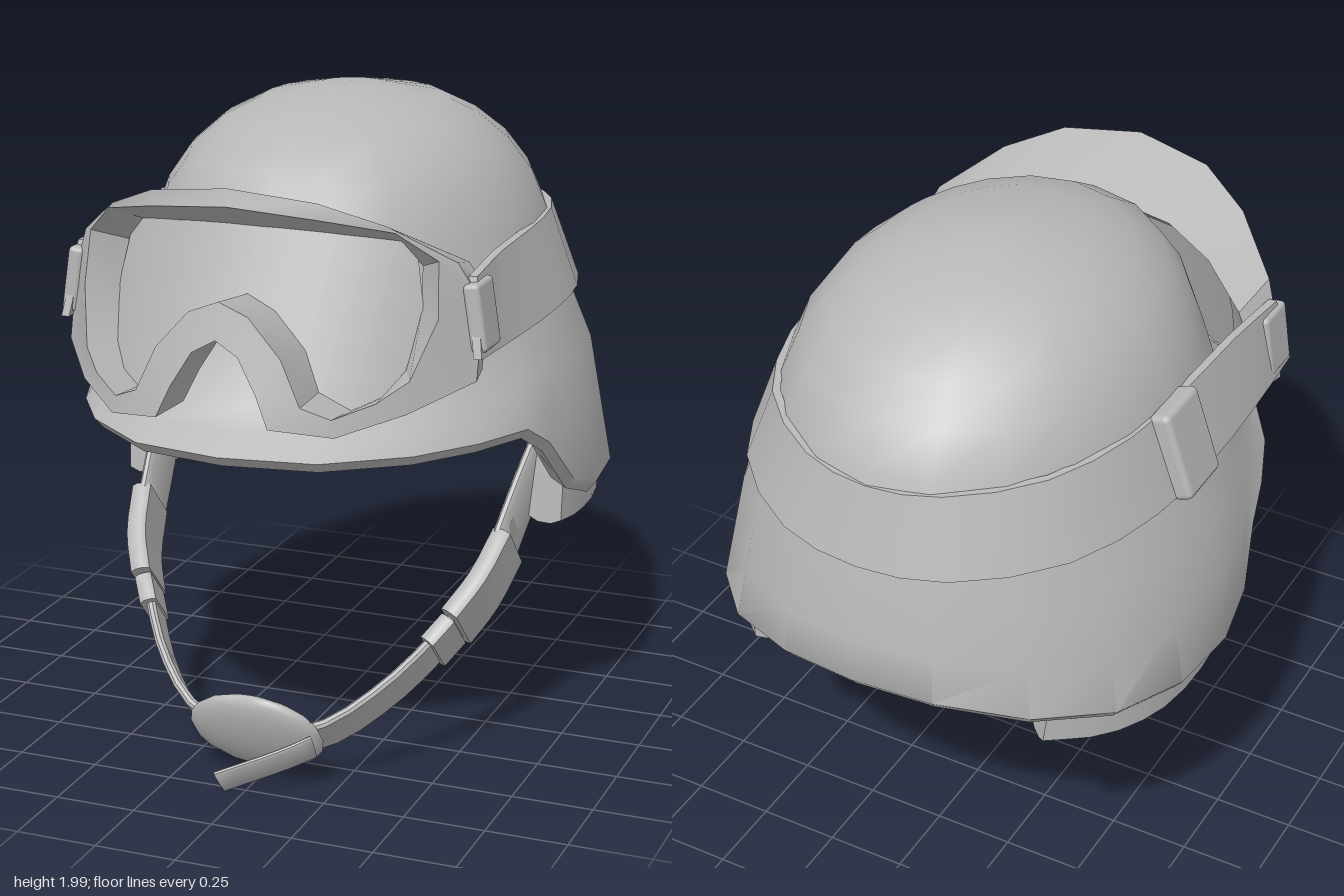
import * as THREE from 'three';
import { toCreasedNormals } from 'three/addons/utils/BufferGeometryUtils.js';
import { RoundedBoxGeometry } from 'three/addons/geometries/RoundedBoxGeometry.js';

const V = (x, y, z) => new THREE.Vector3(x, y, z);

// Skin a list of cross-sections; optionally close each section and the loop of sections.
function loft(sections, closeSection, closeLoop, crease = 0.7) {
  const n = sections.length, m = sections[0].length, index = [];
  for (let i = 0; i < (closeLoop ? n : n - 1); i++) {
    for (let r = 0; r < (closeSection ? m : m - 1); r++) {
      const i2 = (i + 1) % n, r2 = (r + 1) % m;
      const a = i * m + r, b = i * m + r2, c = i2 * m + r, d = i2 * m + r2;
      index.push(a, b, c, b, d, c);
    }
  }
  const geo = new THREE.BufferGeometry().setFromPoints(sections.flat());
  geo.setIndex(index);
  return toCreasedNormals(geo.toNonIndexed(), crease);
}

// Close both ends of a run of sections by collapsing them to their middles.
function capped(sections) {
  const cap = (s) => {
    const mid = s.reduce((sum, p) => sum.add(p), V(0, 0, 0)).divideScalar(s.length);
    return s.map(() => mid.clone());
  };
  return [cap(sections[0]), ...sections, cap(sections[sections.length - 1])];
}

// Flat strap with bevelled edges that follows a smooth path.
const BEVEL = [[-1, 0.4], [-0.88, 1], [0.88, 1], [1, 0.4], [1, -0.4], [0.88, -1], [-0.88, -1], [-1, -0.4]];
function band(points, halfWidth, halfThick, across, steps) {
  const curve = new THREE.CatmullRomCurve3(points.map((p) => V(...p)));
  const sections = [];
  for (let i = 0; i <= steps; i++) {
    const p = curve.getPoint(i / steps), t = curve.getTangent(i / steps);
    const w = across.clone().addScaledVector(t, -across.dot(t)).normalize();
    const n = w.clone().cross(t);
    sections.push(BEVEL.map(([a, b]) => p.clone().addScaledVector(w, a * halfWidth).addScaledVector(n, b * halfThick)));
  }
  return loft(capped(sections), true, false);
}

// Extend a half outline (from x = 0 to x = 0) around the other side.
const mirrorLoop = (half) => [...half, ...half.slice(1, -1).reverse().map(([x, ...rest]) => [-x, ...rest])];
const flip = (points, s) => points.map(([x, y, z]) => [x * s, y, z]);

// Helmet shell: dome levels [y, front z, back z, half width] blended into the rim line.
const CZ = -0.13;
const LEVELS = [
  [1.99, 0.02, -0.22, 0.1], [1.955, 0.22, -0.42, 0.27], [1.9, 0.38, -0.54, 0.38], [1.82, 0.51, -0.67, 0.47],
  [1.72, 0.58, -0.77, 0.54], [1.6, 0.62, -0.85, 0.585], [1.36, 0.68, -0.91, 0.665], [1.2, 0.77, -0.945, 0.735],
];
const RIM = [
  [0, 1.1, 0.93], [0.28, 1.095, 0.87], [0.5, 1.09, 0.69], [0.63, 1.085, 0.49], [0.71, 1.08, 0.29], [0.74, 1.01, 0.17],
  [0.78, 0.86, 0.04], [0.8, 0.8, -0.13], [0.775, 0.8, -0.38], [0.68, 0.825, -0.62], [0.5, 0.875, -0.82],
  [0.25, 0.925, -0.945], [0, 0.94, -0.98],
];
function shellGeometry() {
  const columns = mirrorLoop(RIM).map(([x, y, z]) => {
    const angle = Math.atan2(x / 0.8, (z - CZ) / (z > CZ ? 0.93 - CZ : CZ + 0.98));
    const sn = Math.sin(angle), cs = Math.cos(angle);
    const dome = LEVELS.map(([ly, zf, zb, w]) => V(w * sn, ly, CZ + cs * (cs > 0 ? zf - CZ : CZ - zb)));
    const rim = V(x, y, z);
    const inset = (p, k, dy) => V(p.x * k, p.y + dy, CZ + (p.z - CZ) * k);
    return [
      V(0, 2, -0.1), ...dome, dome[dome.length - 1].clone().lerp(rim, 0.5), rim,
      inset(rim, 0.965, -0.035), inset(rim, 0.9, -0.01),
      ...dome.slice(1).reverse().map((p) => inset(p, 0.9, -0.06)), V(0, 1.92, -0.1),
    ];
  });
  return loft(columns, false, true, 0.9);
}

// Goggles: wrapped and tilted front surface, with a depth that grows toward the top.
const faceZ = (x, y) => 1.275 - 0.24 * y - 0.38 * Math.pow(Math.abs(x) / 0.62, 2.3);
const depth = (x, y) => (0.19 + (y - 1.3) * 0.12) * (1 - 0.3 * (x / 0.6) ** 2);
const OUTER = [[0, 1.85], [0.25, 1.82], [0.42, 1.75], [0.58, 1.63], [0.64, 1.5], [0.64, 1.29], [0.5, 1.23],
  [0.34, 1.185], [0.17, 1.21], [0.13, 1.3], [0.07, 1.4], [0, 1.44]];
const INNER = [[0, 1.8], [0.25, 1.775], [0.44, 1.73], [0.54, 1.64], [0.55, 1.48], [0.5, 1.32], [0.43, 1.27],
  [0.33, 1.235], [0.25, 1.27], [0.19, 1.4], [0.09, 1.51], [0, 1.545]];
const SEAT = [[0, 1.7], [0.25, 1.69], [0.4, 1.67], [0.46, 1.6], [0.47, 1.48], [0.45, 1.32], [0.4, 1.25],
  [0.33, 1.22], [0.24, 1.27], [0.19, 1.38], [0.09, 1.48], [0, 1.52]];
function frameGeometry() {
  const outer = mirrorLoop(OUTER), inner = mirrorLoop(INNER), seat = mirrorLoop(SEAT);
  const sections = outer.map(([x, y], i) => {
    const [ix, iy] = inner[i], [sx, sy] = seat[i];
    const by = y > 1.5 ? 1.5 + (y - 1.5) * 0.72 : y;
    return [
      V(x, y, faceZ(x, y)), V(ix, iy, faceZ(ix, iy)),
      V(sx, sy, faceZ(sx, sy) - depth(sx, sy)), V(x * 0.96, by, faceZ(x, y) - depth(x, y)),
    ];
  });
  return loft(sections, true, true, 0.6);
}
function lensGeometry() {
  // [x, top y, bottom y]
  const half = [[0, 1.71, 1.51], [0.09, 1.71, 1.47], [0.19, 1.705, 1.37], [0.24, 1.7, 1.26], [0.33, 1.69, 1.21],
    [0.4, 1.68, 1.24], [0.45, 1.62, 1.31], [0.475, 1.49, 1.47]];
  const all = [...half.slice(1).reverse().map(([x, t, b]) => [-x, t, b]), ...half];
  return loft(all.map(([x, t, b]) => [t, b].map((y) => V(x, y, faceZ(x, y) - depth(x, y) + 0.008))), false, false, 1);
}

// Elastic strap: top and bottom edges run from one goggle end around the back to the other.
function goggleStrapGeometry() {
  const around = (half) => new THREE.CatmullRomCurve3(
    [...half, ...flip(half.slice(0, -1), -1).reverse()].map((p) => V(...p)));
  const top = around([[0.625, 1.585, 0.52], [0.61, 1.6, 0.25], [0.6, 1.6, -0.05], [0.57, 1.6, -0.35],
    [0.455, 1.59, -0.63], [0.22, 1.57, -0.82], [0, 1.56, -0.865]]);
  const bottom = around([[0.66, 1.36, 0.575], [0.68, 1.36, 0.25], [0.685, 1.36, -0.05], [0.66, 1.36, -0.35],
    [0.54, 1.35, -0.66], [0.27, 1.33, -0.88], [0, 1.32, -0.93]]);
  const sections = [];
  for (let i = 0; i <= 24; i++) {
    const t = top.getPoint(i / 24), b = bottom.getPoint(i / 24);
    const inward = (p) => p.clone().sub(V(p.x, 0, Math.min(p.z, 0)).normalize().multiplyScalar(0.025));
    sections.push([t, b, inward(b), inward(t)]);
  }
  return loft(capped(sections), true, false, 0.6);
}

export function createModel() {
  const model = new THREE.Group();
  model.name = 'helmetWithGoggles';
  const grey = new THREE.MeshStandardMaterial({ color: 0xb8b8b8, side: THREE.DoubleSide });
  grey.name = 'plain grey';
  const add = (name, geometry, parent = model) => {
    const mesh = new THREE.Mesh(geometry, grey);
    mesh.name = name;
    parent.add(mesh);
    return mesh;
  };

  add('helmetShell', shellGeometry());

  const goggles = new THREE.Group();
  goggles.name = 'goggles';
  model.add(goggles);
  add('goggleFrame', frameGeometry(), goggles);
  add('goggleLens', lensGeometry(), goggles);
  add('goggleStrap', goggleStrapGeometry(), goggles);
  const slider = add('strapSlider', new RoundedBoxGeometry(0.07, 0.28, 0.2, 2, 0.02), goggles);
  slider.position.set(-0.645, 1.485, -0.155);
  slider.rotation.z = -0.33;

  // Chin strap, in one run from ear to ear beneath the chin
  const across = V(0, 0.75, 0.66);
  const half = [[0.64, 0.92, -0.14], [0.61, 0.78, 0], [0.59, 0.64, 0.13], [0.555, 0.53, 0.24], [0.47, 0.4, 0.37],
    [0.36, 0.28, 0.51], [0.22, 0.18, 0.62], [0.1, 0.145, 0.655], [0, 0.14, 0.66]];
  add('chinStrap', band([...half, ...flip(half.slice(0, -1), -1).reverse()], 0.065, 0.014, across, 40));

  for (const [side, s] of [['left', 1], ['right', -1]]) {
    const outer = (pts) => flip(pts, s);
    add(side + 'EarPad', band(outer([[0.675, 0.81, -0.02], [0.69, 0.8, -0.14], [0.675, 0.8, -0.38],
      [0.595, 0.81, -0.56], [0.47, 0.835, -0.69]]), 0.12, 0.055, V(0, 1, 0), 10));
    add(side + 'UpperStrap', band(outer([[0.635, 0.92, -0.14], [0.61, 0.78, 0], [0.59, 0.65, 0.12]]),
      0.1, 0.016, across, 6));
    add(side + 'StrapPad', band(outer([[0.6, 0.65, 0.12], [0.565, 0.54, 0.24], [0.51, 0.45, 0.33]]),
      0.1, 0.03, across, 6));
    add(side + 'StrapBuckle', band(outer([[0.505, 0.445, 0.335], [0.46, 0.385, 0.395]]), 0.08, 0.026, across, 2));
    const anchor = add(side + 'StrapAnchor', new RoundedBoxGeometry(0.05, 0.2, 0.14, 2, 0.015), goggles);
    anchor.position.set(0.63 * s, 1.47, 0.49);
    anchor.rotation.z = 0.15 * s;
  }

  // Chin cup and loose strap end
  const cup = add('chinCup', new THREE.SphereGeometry(1, 16, 10));
  cup.scale.set(0.215, 0.148, 0.045);
  cup.rotation.x = 0.45;
  cup.position.set(0, 0.165, 0.665);
  add('strapEnd', band([[0.19, 0.15, 0.68], [0.12, 0.12, 0.73], [-0.06, 0.05, 0.81]], 0.055, 0.009, across, 6));

  return model;
}
